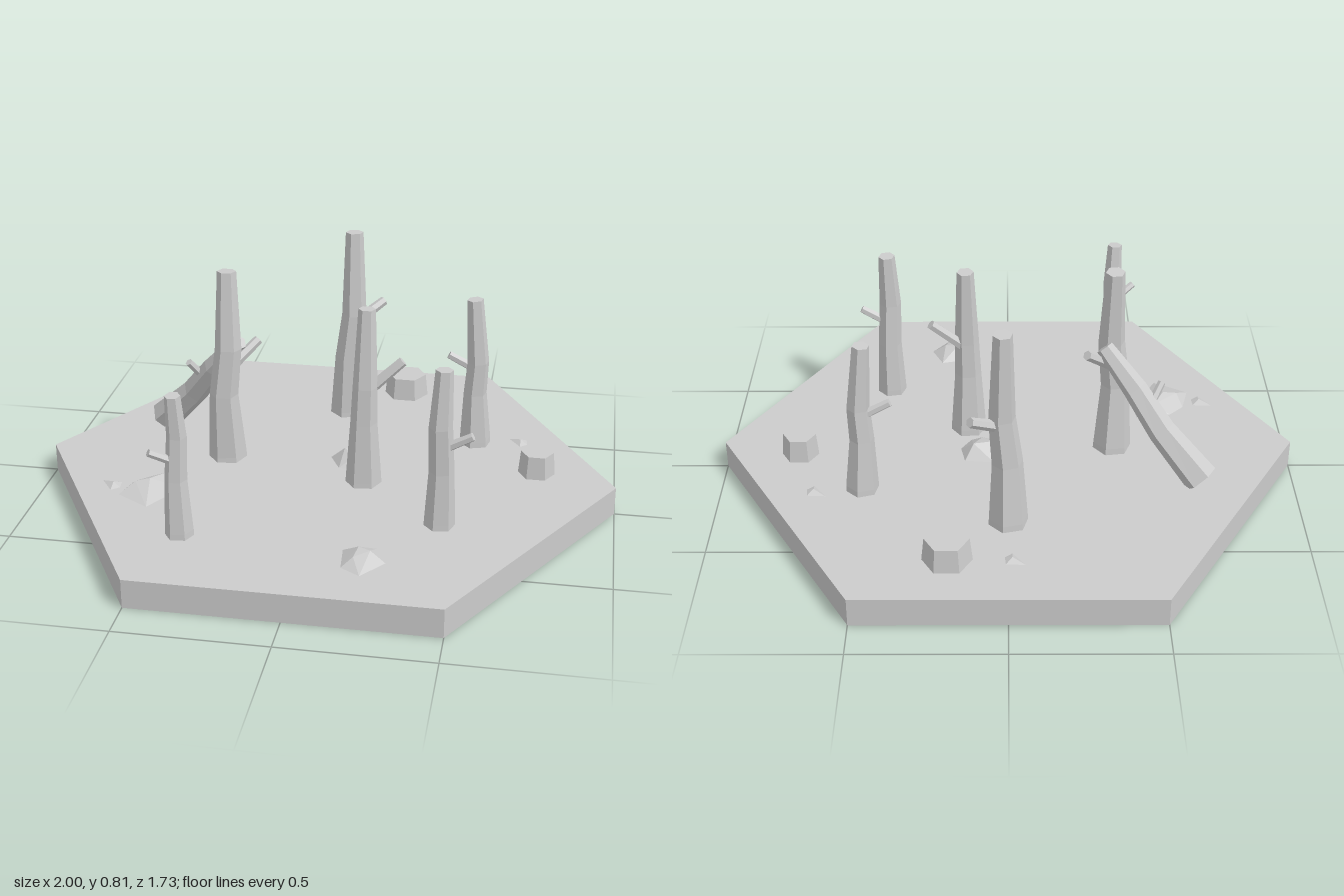
import * as THREE from 'three';
import { ConvexGeometry } from 'three/addons/geometries/ConvexGeometry.js';

const GROUND = 0.1;
const mat = new THREE.MeshStandardMaterial({ color: 0xcccccc, flatShading: true, side: THREE.DoubleSide });

function add(parent, geometry, name) {
  const mesh = new THREE.Mesh(geometry, mat);
  mesh.name = name;
  parent.add(mesh);
  return mesh;
}

// Tapered, bent six-sided limb. Each row is [x, y, z, radius]; the lower end stays open.
function limbGeometry(rows, turn = 0, square = false) {
  const n = rows.length - 1;
  const geo = new THREE.CylinderGeometry(1, 1, 1, 6, n, false, Math.PI / 2 + turn);
  const pos = geo.attributes.position;
  const centres = rows.map(([x, y, z]) => new THREE.Vector3(x, y, z));
  const up = new THREE.Vector3(0, 1, 0);
  const turns = centres.map((c, k) => {
    const q = new THREE.Quaternion();
    if (k === 0 && !square) return q;
    const dir = centres[Math.min(k + 1, n)].clone().sub(centres[Math.max(k - 1, 0)]).normalize();
    return q.setFromUnitVectors(up, dir);
  });
  const v = new THREE.Vector3();
  for (let i = 0; i < pos.count; i++) {
    const k = Math.round((pos.getY(i) + 0.5) * n);
    v.set(pos.getX(i), 0, pos.getZ(i)).multiplyScalar(rows[k][3]);
    v.applyQuaternion(turns[k]).add(centres[k]);
    pos.setXYZ(i, v.x, v.y, v.z);
  }
  geo.setIndex(Array.from(geo.index.array).slice(0, geo.groups[2].start));
  geo.clearGroups();
  geo.computeVertexNormals();
  return geo;
}

// Trunk with one snapped side branch
function deadTree(parent, name, rows, branch, turn, square) {
  const tree = new THREE.Group();
  tree.name = name;
  add(tree, limbGeometry(rows, turn, square), 'trunk');
  const [from, to, r] = branch;
  add(tree, limbGeometry([[...from, r], [...to, r * 0.85]], 0, true), 'branch');
  parent.add(tree);
}

// Faceted stone: ground outline and a smaller set of crown points, each [x, z] or [x, z, y]
function rock(parent, name, outline, crown, height) {
  const pts = [];
  const mid = new THREE.Vector3();
  for (const [x, z] of outline) {
    pts.push(new THREE.Vector3(x, GROUND, z));
    mid.add(pts[pts.length - 1]);
  }
  mid.divideScalar(outline.length);
  for (const p of [...pts]) pts.push(p.clone().lerp(mid, 0.35).setY(GROUND - height * 0.7));
  for (const [x, z, y = GROUND + height] of crown) pts.push(new THREE.Vector3(x, y, z));
  add(parent, new ConvexGeometry(pts), name);
}

export function createModel() {
  const model = new THREE.Group();
  model.name = 'deadForestTile';

  // Hexagonal ground tile, open underneath
  const base = new THREE.Group();
  base.name = 'groundTile';
  model.add(base);
  const walls = add(base, new THREE.CylinderGeometry(1, 1, GROUND, 6, 1, true, Math.PI / 2), 'tileWalls');
  walls.position.y = GROUND / 2;
  const top = add(base, new THREE.CircleGeometry(1, 6).rotateX(-Math.PI / 2), 'tileTop');
  top.position.y = GROUND;

  // Standing trees
  deadTree(model, 'tallBackTree',
    [[0, .05, -.465, .071], [0, .12, -.465, .066], [.003, .33, -.455, .052], [.02, .5, -.455, .045], [.017, .81, -.468, .032]],
    [[.03, .47, -.46], [.12, .53, -.53], .02], .25);
  deadTree(model, 'tallLeftTree',
    [[-.365, .05, -.02, .071], [-.365, .12, -.02, .066], [-.37, .35, -.005, .05], [-.352, .52, -.01, .046], [-.355, .795, -.03, .033]],
    [[-.35, .44, -.03], [-.265, .52, -.105], .02], .15);
  deadTree(model, 'centreTree',
    [[.14, .05, .095, .065], [.14, .12, .095, .061], [.14, .33, .1, .046], [.143, .46, .1, .042], [.145, .735, .085, .029]],
    [[.15, .44, .09], [.265, .545, .06], .02], .1);
  deadTree(model, 'frontRightTree',
    [[.43, .05, .355, .054], [.43, .12, .355, .051], [.432, .3, .358, .042], [.426, .46, .368, .039], [.432, .655, .36, .029]],
    [[.44, .385, .365], [.53, .435, .37], .017], .2);
  deadTree(model, 'backRightTree',
    [[.493, .05, -.277, .06], [.493, .12, -.277, .056], [.487, .3, -.272, .042], [.494, .42, -.27, .039], [.475, .655, -.27, .029]],
    [[.485, .39, -.275], [.39, .44, -.27], .017], .3);
  deadTree(model, 'frontLeftTree',
    [[-.392, .05, .56, .05], [-.392, .12, .56, .047], [-.397, .3, .557, .037], [-.39, .45, .553, .033], [-.395, .595, .565, .026]],
    [[-.39, .36, .56], [-.47, .41, .605], .015], .1);

  // Fallen tree leaning on its neighbour
  deadTree(model, 'leaningTree',
    [[-.655, .125, -.26, .06], [-.52, .27, -.185, .048], [-.43, .395, -.12, .042], [-.325, .525, -.06, .03]],
    [[-.475, .34, -.15], [-.52, .415, -.105], .016], 0, true);

  // Stumps
  for (const [x, z, r] of [[.195, -.665, .085], [.725, -.07, .066]]) {
    add(model, limbGeometry([[x, .05, z, r * 1.03], [x, .182, z, r * .86]]), 'stump');
  }

  // Rocks
  rock(model, 'largeRock',
    [[-.465, .155], [-.465, .25], [-.55, .4], [-.665, .33], [-.64, .23], [-.59, .18]],
    [[-.57, .27], [-.62, .28, .13], [-.53, .2, .13]], .04);
  rock(model, 'middleRock',
    [[0, -.07], [.05, -.125], [.15, -.115], [.165, -.04], [.13, .015], [.04, .01]],
    [[.05, -.06], [.12, -.075], [.09, -.02, .135]], .045);
  rock(model, 'frontRock',
    [[.145, .57], [.25, .545], [.29, .63], [.22, .72], [.155, .68]],
    [[.2, .6], [.24, .62], [.19, .65, .125]], .035);
  for (const [x, z, r] of [[-.02, -.67, .035], [.65, -.3, .035], [-.71, .265, .038]]) {
    rock(model, 'pebble',
      [[x - r, z - r * .7], [x + r * .8, z - r * .6], [x + r * .9, z + r * .4], [x + r * .2, z + r]],
      [[x + r * .2, z]], .013);
  }
  return model;
}
